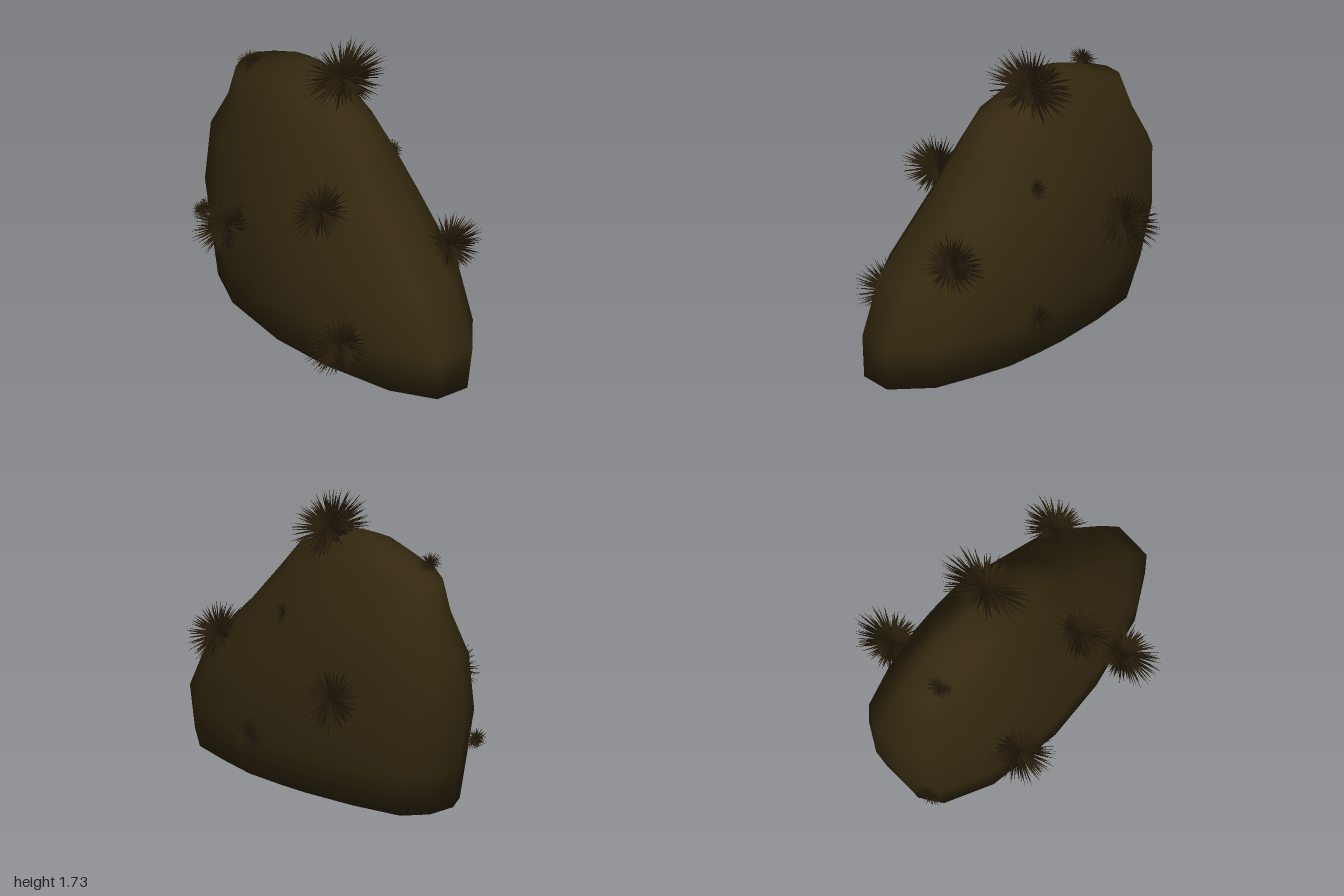
import * as THREE from 'three';
import { mergeGeometries } from 'three/addons/utils/BufferGeometryUtils.js';

const rockBrown = new THREE.MeshStandardMaterial({ name: 'rockBrown', color: 0x33280f });
const grassDark = new THREE.MeshStandardMaterial({ name: 'grassDark', color: 0x2a1f0c });

// Small seeded generator
function seeded(seed) {
  return () => {
    seed = (seed * 16807) % 2147483647;
    return seed / 2147483647;
  };
}

// Boulder lofted through horizontal rings, closed at the crest and the base
function rockGeometry() {
  // Plan outline, u across and v along, from the front tip round by the right
  const outline = [
    [-0.05, 1], [-0.58, 0.95], [-0.88, 0.67], [-1, 0.2], [-0.95, -0.2], [-0.65, -0.67],
    [-0.22, -0.94], [0.14, -1], [0.57, -0.96], [0.88, -0.83], [0.98, -0.5], [1, -0.15],
    [0.97, 0.05], [0.9, 0.3], [0.7, 0.56], [0.48, 0.8],
  ];
  // Ring: height, front z, back z, low x, high x
  const rings = [
    [0, 0.98, -0.87, -0.44, 0.31],
    [0.26, 1, -0.93, -0.455, 0.37],
    [0.57, 0.86, -0.99, -0.455, 0.4],
    [0.92, 0.52, -0.98, -0.36, 0.38],
    [1.15, 0.33, -0.86, -0.29, 0.32],
    [1.34, 0.18, -0.81, -0.22, 0.25],
    [1.46, -0.08, -0.54, -0.12, 0.18],
  ];
  const positions = [];
  const index = [];
  const n = outline.length;
  for (const [y, front, back, low, high] of rings) {
    for (const [u, v] of outline) {
      positions.push((low + high) / 2 + (u * (high - low)) / 2, y, (front + back) / 2 + (v * (front - back)) / 2);
    }
  }
  const crest = positions.length / 3;
  positions.push(0.06, 1.55, -0.3, -0.06, 0, 0.05);
  const base = crest + 1;
  const last = (rings.length - 1) * n;
  for (let i = 0; i < n; i++) {
    const k = (i + 1) % n;
    for (let a = 0; a < last; a += n) {
      index.push(a + k, a + i, a + n + i, a + k, a + n + i, a + n + k);
    }
    index.push(last + k, last + i, crest, i, k, base);
  }
  const geometry = new THREE.BufferGeometry();
  geometry.setAttribute('position', new THREE.Float32BufferAttribute(positions, 3));
  geometry.setIndex(index);
  geometry.computeVertexNormals();
  return geometry;
}

// Unit ball of thin pointed blades, spread evenly with varied lengths
function tuftGeometry(count, seed) {
  const random = seeded(seed);
  const up = new THREE.Vector3(0, 1, 0);
  const blades = [];
  for (let i = 0; i < count; i++) {
    const y = 1 - (2 * (i + 0.5)) / count;
    const angle = i * 2.39996 + random() * 0.3;
    const r = Math.sqrt(1 - y * y);
    const direction = new THREE.Vector3(r * Math.cos(angle), y, r * Math.sin(angle));
    const length = 0.78 + 0.24 * random();
    const blade = new THREE.ConeGeometry(0.055, length, 3, 1, true);
    blade.translate(0, length / 2, 0);
    blade.applyQuaternion(new THREE.Quaternion().setFromUnitVectors(up, direction));
    blades.push(blade);
  }
  return mergeGeometries(blades);
}

export function createModel() {
  const model = new THREE.Group();
  model.name = 'grassyRock';

  const rock = new THREE.Mesh(rockGeometry(), rockBrown);
  rock.name = 'rock';
  model.add(rock);

  // Tufts: name, centre, radii
  const tufts = [
    ['topTuft', [0.08, 1.51, -0.09], [0.31, 0.23, 0.2]],
    ['frontTuft', [0.12, 0.71, 0.66], [0.23, 0.19, 0.17]],
    ['leftTuft', [0.49, 0.68, -0.4], [0.26, 0.2, 0.18]],
    ['rightUpperTuft', [-0.38, 0.96, 0.16], [0.25, 0.19, 0.17]],
    ['rightMiddleTuft', [-0.42, 0.6, -0.5], [0.25, 0.18, 0.2]],
    ['rightLowerTuft', [-0.5, 0.25, 0.41], [0.26, 0.2, 0.17]],
    ['smallShoulderTuft', [0.27, 1.01, 0.1], [0.08, 0.08, 0.065]],
    ['smallLeftTuft', [0.4, 0.29, 0.24], [0.11, 0.12, 0.1]],
    ['smallCrestTuft', [-0.03, 1.41, -0.69], [0.1, 0.07, 0.07]],
    ['smallBackUpperTuft', [0.27, 0.89, -0.83], [0.08, 0.08, 0.065]],
    ['smallBackLowerTuft', [-0.14, 0.38, -0.93], [0.09, 0.07, 0.06]],
  ];
  const largeTuft = tuftGeometry(240, 17);
  const smallTuft = tuftGeometry(150, 91);
  for (const [name, centre, radii] of tufts) {
    const tuft = new THREE.Mesh(name.startsWith('small') ? smallTuft : largeTuft, grassDark);
    tuft.name = name;
    tuft.position.set(...centre);
    tuft.scale.set(...radii);
    model.add(tuft);
  }
  return model;
}
